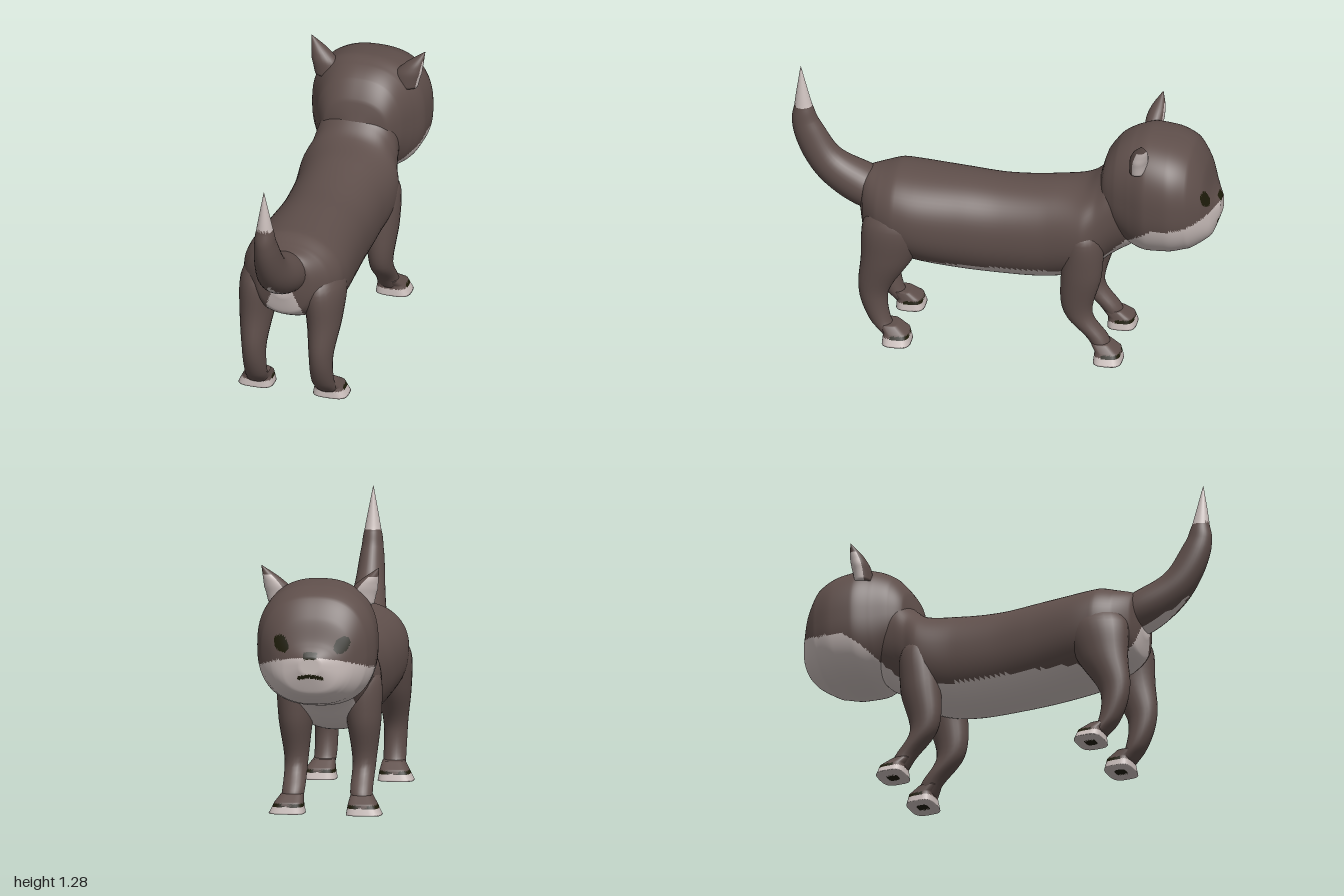
import * as THREE from 'three';

const mat = (name, color) => {
  const m = new THREE.MeshStandardMaterial({ color });
  m.name = name;
  return m;
};

// Piecewise linear lookup in a list of [position, value] pairs
function lookup(pairs, p) {
  for (let i = 1; i < pairs.length; i++) {
    const [a, va] = pairs[i - 1], [b, vb] = pairs[i];
    if (p <= b) return va + (vb - va) * Math.max(0, (p - a) / (b - a));
  }
  return pairs[pairs.length - 1][1];
}

// Smooth skin through sections [x, y, z, halfWidth, halfHeight, tilt].
// paint(x, y, z, angle) picks the material index of each face.
function loft(name, sections, materials, paint, { sides = 32, steps = 8, power = 1, linear = false } = {}) {
  const pick = (k) => sections.map((s) => new THREE.Vector3(...s.slice(k, k + 3)));
  const centres = new THREE.CatmullRomCurve3(pick(0));
  const sizes = new THREE.CatmullRomCurve3(pick(3));
  const rings = [];
  const n = sections.length - 1;
  for (let i = 0; i <= n * steps; i++) {
    const t = i / (n * steps), k = Math.min(n - 1, Math.floor(i / steps));
    const at = (curve) => linear
      ? curve.points[k].clone().lerp(curve.points[k + 1], i / steps - k)
      : curve.getPoint(t);
    rings.push([at(centres), at(sizes), 1]);
  }
  // Caps of shrinking rings close both ends
  const first = rings[0], last = rings[rings.length - 1];
  for (let k = 1; k <= 5; k++) {
    rings.unshift([first[0], first[1], 1 - k / 5]);
    rings.push([last[0], last[1], 1 - k / 5]);
  }
  const soft = (v) => Math.sign(v) * Math.abs(v) ** power;
  const pos = [];
  for (const [c, r, f] of rings) {
    for (let j = 0; j < sides; j++) {
      const a = (j / sides) * Math.PI * 2;
      const h = soft(Math.sin(a)) * r.y * f;
      pos.push(c.x + soft(Math.cos(a)) * r.x * f, c.y + h * Math.cos(r.z), c.z + h * Math.sin(r.z));
    }
  }
  const lists = materials.map(() => []);
  const add = (angle, ...tri) => {
    const mid = [0, 1, 2].map((k) => tri.reduce((sum, v) => sum + pos[v * 3 + k], 0) / 3);
    lists[paint(...mid, angle)].push(...tri);
  };
  for (let i = 0; i < rings.length - 1; i++) {
    for (let j = 0; j < sides; j++) {
      const a = i * sides + j, b = i * sides + ((j + 1) % sides);
      const angle = ((j + 0.5) / sides) * Math.PI * 2;
      if (rings[i][2] > 0) add(angle, a, b, b + sides);
      if (rings[i + 1][2] > 0) add(angle, a, b + sides, a + sides);
    }
  }
  const geo = new THREE.BufferGeometry();
  geo.setAttribute('position', new THREE.Float32BufferAttribute(pos, 3));
  geo.setIndex(lists.flat());
  let start = 0;
  lists.forEach((list, m) => {
    if (list.length) geo.addGroup(start, list.length, m);
    start += list.length;
  });
  geo.computeVertexNormals();
  const mesh = new THREE.Mesh(geo, materials);
  mesh.name = name;
  return mesh;
}

// Upright section from its top and bottom heights
const slice = ([z, top, bottom, width]) => [0, (top + bottom) / 2, z, width, (top - bottom) / 2, 0];

export function createModel() {
  const model = new THREE.Group();
  model.name = 'cat';
  const mats = [mat('brownFur', 0x5f4f4b), mat('creamFur', 0xcabebb), mat('darkMarking', 0x1e1c0a)];
  const BROWN = 0, CREAM = 1, DARK = 2;

  // Height below which the fur is cream, along the animal
  const creamLine = [[-1, 0.8], [-0.93, 0.77], [-0.85, 0.74], [-0.72, 0.73], [-0.65, 0.68], [-0.5, 0.53],
    [-0.42, 0.45], [-0.28, 0.43], [0.1, 0.42], [0.7, 0.41]];
  const isCream = (y, z) => y < lookup(creamLine, z);

  // Body with neck, cream belly and rump patch
  const rump = [[0.35, 0.075], [0.5, 0.085], [0.6, 0.05], [0.75, 0]];
  model.add(loft('body', [
    [-0.66, 0.95, 0.62, 0.12], [-0.58, 1.0, 0.53, 0.18], [-0.5, 0.95, 0.48, 0.195], [-0.44, 0.885, 0.43, 0.21],
    [-0.37, 0.835, 0.385, 0.235], [-0.2, 0.81, 0.34, 0.218], [0, 0.795, 0.335, 0.216], [0.2, 0.805, 0.345, 0.228],
    [0.4, 0.815, 0.372, 0.243], [0.5, 0.82, 0.4, 0.235], [0.58, 0.8, 0.43, 0.2], [0.65, 0.78, 0.48, 0.13],
    [0.675, 0.7, 0.57, 0.05],
  ].map(slice), mats, (x, y, z) =>
    isCream(y, z) || (z > 0.54 && Math.abs(x) < lookup(rump, y)) ? CREAM : BROWN,
  { sides: 64, steps: 8, power: 0.92 }));

  // Head with cream jaw, eyes, nose and mouth
  const face = (x, y, z) => {
    const ax = Math.abs(x);
    if (z < -0.86) {
      const dx = (ax - 0.14) / 0.036, dy = (y - 0.855 - (ax - 0.14) * 0.3) / 0.038;
      if (dx * dx + dy * dy < 1) return DARK;
      if (ax < 0.032 && Math.abs(y - 0.808) < 0.016) return DARK;
      if (ax < 0.06 && Math.abs(y - 0.715 + ax * 0.2) < 0.009) return DARK;
    }
    return isCream(y, z) ? CREAM : BROWN;
  };
  model.add(loft('head', [
    [-1.0, 0.8, 0.72, 0.05], [-0.968, 0.855, 0.635, 0.13], [-0.93, 0.97, 0.6, 0.19], [-0.87, 1.06, 0.565, 0.245],
    [-0.78, 1.1, 0.545, 0.275], [-0.68, 1.115, 0.54, 0.27], [-0.6, 1.1, 0.56, 0.235], [-0.53, 1.06, 0.62, 0.2],
    [-0.47, 0.98, 0.7, 0.15], [-0.44, 0.88, 0.78, 0.05],
  ].map(slice), mats, face, { sides: 120, steps: 10, power: 0.82 }));

  // Tail with cream tip and underside
  model.add(loft('tail', [
    [0, 0.66, 0.52, 0.1, 0.09, -0.1], [0, 0.695, 0.655, 0.105, 0.1, -0.26], [0, 0.805, 0.835, 0.075, 0.083, -0.7],
    [0, 1.0, 0.938, 0.05, 0.062, -1.4], [0, 1.08, 0.948, 0.038, 0.042, -1.5], [0, 1.28, 0.96, 0.001, 0.001, -1.57],
  ], mats, (x, y, z, a) =>
    y > 1.085 || (Math.sin(a) < -0.6 && Math.abs(x) < lookup(rump, y)) ? CREAM : BROWN,
  { sides: 32, steps: 8 }));

  const DOWN = Math.PI / 2;
  const legs = {
    front: [[0.12, 0.7, -0.37, 0.06, 0.05], [0.143, 0.6, -0.385, 0.098, 0.09], [0.157, 0.42, -0.375, 0.08, 0.095],
      [0.157, 0.22, -0.36, 0.054, 0.066], [0.157, 0.1, -0.452, 0.052, 0.05], [0.165, 0.035, -0.485, 0.05, 0.04]],
    hind: [[0.12, 0.69, 0.47, 0.07, 0.11], [0.145, 0.58, 0.49, 0.1, 0.155], [0.16, 0.42, 0.53, 0.08, 0.12],
      [0.16, 0.24, 0.59, 0.055, 0.069], [0.16, 0.1, 0.56, 0.052, 0.05], [0.167, 0.035, 0.51, 0.05, 0.04]],
  };

  for (const s of [1, -1]) {
    const side = s > 0 ? 'left' : 'right';
    for (const [kind, sections] of Object.entries(legs)) {
      // Leg
      model.add(loft(`${side}_${kind}Leg`, sections.map(([x, ...rest]) => [x * s, ...rest, DOWN]),
        mats, () => BROWN, { sides: 24, steps: 6 }));

      // Paw with cream edge, dark toe marks and sole pad
      const z = kind === 'front' ? -0.505 : 0.477;
      const toes = (x, y, pz) => {
        const across = Math.abs(x - s * 0.175);
        if (y < 0.002) return Math.hypot(across, pz - z) < 0.03 ? DARK : CREAM;
        if (y > 0.032 && y < 0.047 && pz < z + 0.02 && across > 0.015) return DARK;
        return y < 0.035 ? CREAM : BROWN;
      };
      model.add(loft(`${side}_${kind}Paw`, [
        [0.16, 0.085, z + 0.04, 0.05, 0.045], [0.17, 0.05, z + 0.004, 0.066, 0.058], [0.178, 0, z, 0.083, 0.067],
      ].map(([x, ...rest]) => [x * s, ...rest, DOWN]), mats, toes,
      { sides: 32, steps: 8, power: 0.6, linear: true }));
    }

    // Ear with cream inside facing forward and outward
    model.add(loft(`${side}_ear`, [
      [0.185, 1.0, -0.645, 0.06, 0.04], [0.198, 1.06, -0.65, 0.062, 0.042], [0.225, 1.11, -0.66, 0.042, 0.034],
      [0.27, 1.17, -0.675, 0.002, 0.002],
    ].map(([x, ...rest]) => [x * s, ...rest, -DOWN]), mats, (x, y, z, a) =>
      s * Math.cos(a) + Math.sin(a) > 0.5 && y < 1.13 ? CREAM : BROWN, { sides: 24, steps: 6 }));
  }
  return model;
}
